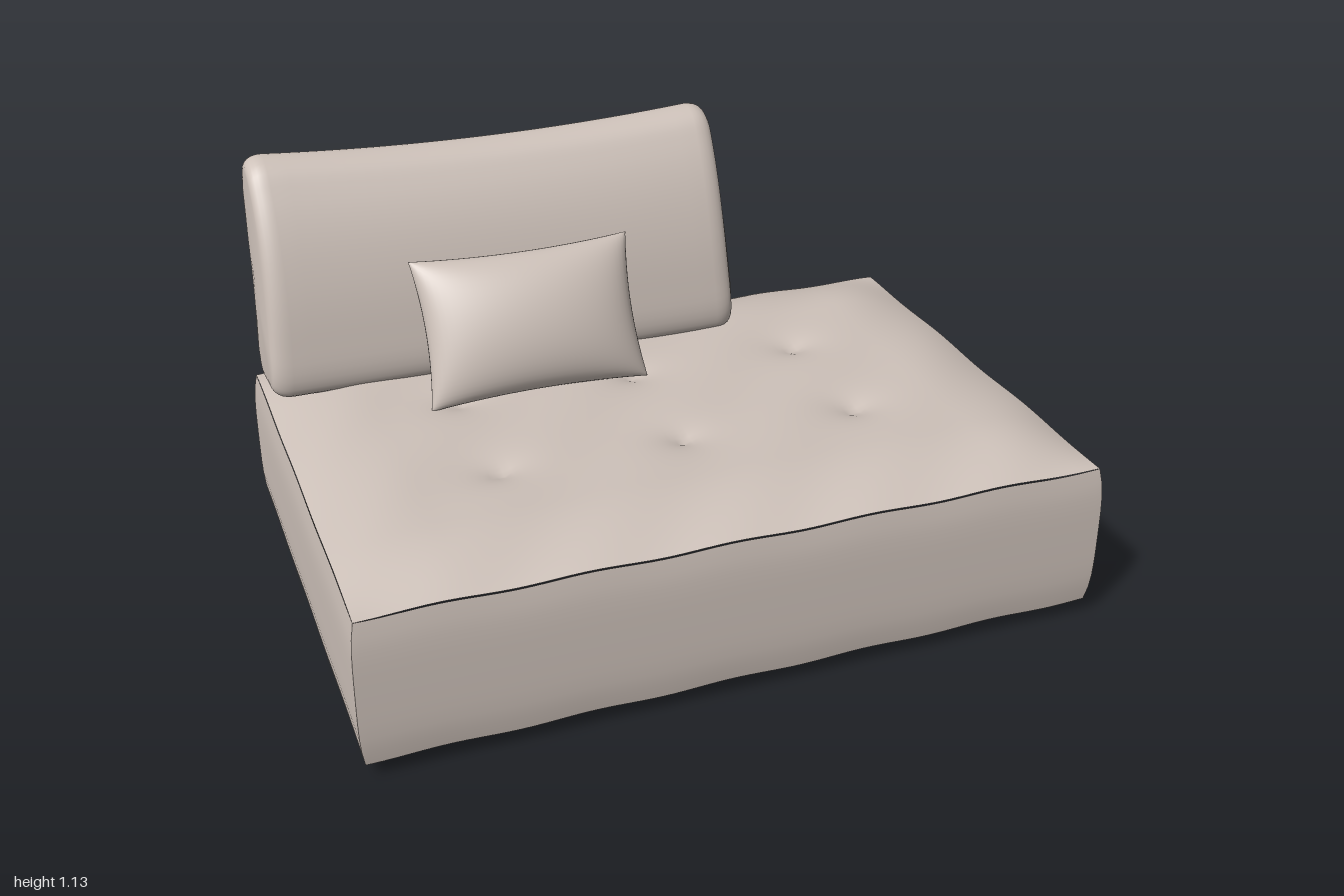
import * as THREE from 'three';
import { mergeVertices } from 'three/addons/utils/BufferGeometryUtils.js';
import { mergeGeometries } from 'three/addons/utils/BufferGeometryUtils.js';
import { ParametricGeometry } from 'three/addons/geometries/ParametricGeometry.js';

const fabric = new THREE.MeshStandardMaterial({ color: 0xcdc1b9 });
fabric.name = 'beige fabric';
const black = new THREE.MeshStandardMaterial({ color: 0x0b0b0b });
black.name = 'black plastic';

function part(name, geometry, material = fabric) {
  const mesh = new THREE.Mesh(geometry, material);
  mesh.name = name;
  return mesh;
}

// Weld the seams of a surface so it shades smoothly
function weld(geometry) {
  geometry.deleteAttribute('uv');
  geometry.deleteAttribute('normal');
  const welded = mergeVertices(geometry, 1e-4);
  welded.computeVertexNormals();
  return welded;
}

// Upholstered block: bulging walls, domed top with six button tufts
function seatGeometry() {
  const halfX = 0.995, halfZ = 0.67, low = 0.048, seam = 0.453;
  const geometry = new THREE.BoxGeometry(2, 1, 2, 96, 10, 72);
  const pos = geometry.attributes.position;
  const normal = geometry.attributes.normal;
  const rise = (d) => 1 - Math.pow(1 - Math.min(d / 0.27, 1), 2.2);
  for (let i = 0; i < pos.count; i++) {
    const t = pos.getY(i) + 0.5;
    const tuck = 0.012 * Math.pow(Math.abs(2 * t - 1), 4);
    const x = pos.getX(i) * (halfX + 0.003 - tuck);
    const z = pos.getZ(i) * (halfZ + 0.003 - tuck);
    let y = low + t * (seam - low);
    y += 0.003 * Math.sin(x * 17 + z * 13) * Math.abs(2 * t - 1);
    if (normal.getY(i) > 0.5) {
      y += 0.057 * rise(halfX - Math.abs(x)) * rise(halfZ - Math.abs(z));
      for (const bx of [-0.5, 0, 0.5]) for (const bz of [-0.2, 0.2]) {
        const r = Math.hypot(x - bx, z - bz);
        y -= 0.034 * Math.exp(-r / 0.055);
      }
    }
    pos.setXYZ(i, x, y, z + 0.013);
  }
  geometry.computeVertexNormals();
  return geometry;
}

// Back cushion: side profile swept along x with rounded ends
function backCushionGeometry() {
  const outline = [
    [-0.595, 0.483], [-0.622, 0.53], [-0.642, 0.7], [-0.664, 0.88], [-0.68, 1.03], [-0.664, 1.1],
    [-0.61, 1.132], [-0.545, 1.115], [-0.495, 1.05], [-0.44, 0.94], [-0.395, 0.8], [-0.368, 0.66],
    [-0.358, 0.55], [-0.375, 0.505], [-0.46, 0.49],
  ];
  const curve = new THREE.CatmullRomCurve3(outline.map(([z, y]) => new THREE.Vector3(0, y, z)), true);
  // Each station: x offset from the end, and inset of the profile
  const end = [[-0.012, 1], [-0.01, 0.6], [-0.004, 0.25]];
  for (let k = 0; k <= 6; k++) {
    const a = (k / 6) * Math.PI / 2;
    end.push([0.055 * (1 - Math.sin(a)) * -1 + 0.055, 0]);
    end[end.length - 1] = [0.055 * (1 - Math.cos(a)), 0.2 * (1 - Math.sin(a))];
  }
  const half = 0.675, stations = end.map(([d, inset]) => [-half + d, inset]);
  for (let k = 1; k < 24; k++) stations.push([(k / 12 - 1) * (half - 0.055), 0]);
  stations.push(...end.map(([d, inset]) => [half - d, inset]).reverse());
  const p = new THREE.Vector3();
  const surface = (u, v, target) => {
    const [x, inset] = stations[Math.round(v * (stations.length - 1))] ?? stations[0];
    curve.getPoint(u % 1, p);
    const shrink = inset > 0.2 ? inset : inset * 0.6;
    let y = THREE.MathUtils.lerp(p.y, 0.8, shrink);
    const z = THREE.MathUtils.lerp(p.z, -0.53 - (y - 0.8) * 0.2, inset);
    const t = THREE.MathUtils.clamp((y - 0.48) / 0.65, 0, 1);
    y -= 0.03 * (1 - (x / half) ** 2) * t ** 3;
    target.set(-0.295 + x * (1.015 - 0.02 * Math.sin(t * Math.PI * 0.8) - 0.012 * t), y, z);
  };
  return weld(new ParametricGeometry(surface, 64, stations.length - 1));
}

// Throw pillow: two bulging sheets with drawn-in edges and pointed corners
function pillowGeometry() {
  const sheet = (side) => new ParametricGeometry((u, v, target) => {
    const a = (u - 0.5) * Math.PI * side, b = (v - 0.5) * Math.PI;
    const s = Math.sin(a), t = Math.sin(b);
    const fill = Math.pow(Math.max(Math.cos(a) * Math.cos(b), 0), 0.9);
    target.set(
      s * 0.312 * (1 - 0.06 * (1 - t * t)),
      t * 0.205 * (1 - 0.07 * (1 - s * s)),
      side * 0.105 * fill,
    );
  }, 32, 28);
  return weld(mergeGeometries([sheet(1), sheet(-1)]));
}

// Support plate with rounded corners and a softened rim
function plateGeometry(width, height, radius, depth) {
  const w = width / 2, h = height / 2, s = new THREE.Shape();
  s.absarc(w - radius, h - radius, radius, 0, Math.PI / 2);
  s.absarc(-w + radius, h - radius, radius, Math.PI / 2, Math.PI);
  s.absarc(-w + radius, -h + radius, radius, Math.PI, Math.PI * 1.5);
  s.absarc(w - radius, -h + radius, radius, Math.PI * 1.5, Math.PI * 2);
  const bevel = 0.004;
  const geometry = new THREE.ExtrudeGeometry(s, {
    depth: depth - 2 * bevel, bevelThickness: bevel, bevelSize: bevel, bevelOffset: -bevel,
    bevelSegments: 2, curveSegments: 6,
  });
  return geometry.center();
}

export function createModel() {
  const model = new THREE.Group();
  model.name = 'sofaModule';
  model.add(part('seat', seatGeometry()));
  model.add(part('backCushion', backCushionGeometry()));

  const pillow = part('pillow', pillowGeometry());
  pillow.position.set(-0.275, 0.685, -0.25);
  pillow.rotation.x = -0.45;
  model.add(pillow);

  // Back support: leaning plate and the lip that hooks under the seat
  const support = new THREE.Group();
  support.name = 'backSupport';
  const plate = part('backPlate', plateGeometry(1.12, 0.925, 0.03, 0.015));
  plate.position.set(-0.31, 0.4875, -0.672);
  plate.rotation.x = -0.014;
  const lip = part('supportLip', new THREE.BoxGeometry(1.1, 0.015, 0.07));
  lip.position.set(-0.31, 0.034, -0.632);
  support.add(plate, lip);
  model.add(support);

  // Four tapered feet
  for (const x of [-0.91, 0.89]) for (const z of [-0.513, 0.56]) {
    const foot = part('foot', new THREE.CylinderGeometry(0.068, 0.055, 0.05, 16), black);
    foot.position.set(x, 0.025, z);
    foot.scale.x = 0.9;
    model.add(foot);
  }
  return model;
}
